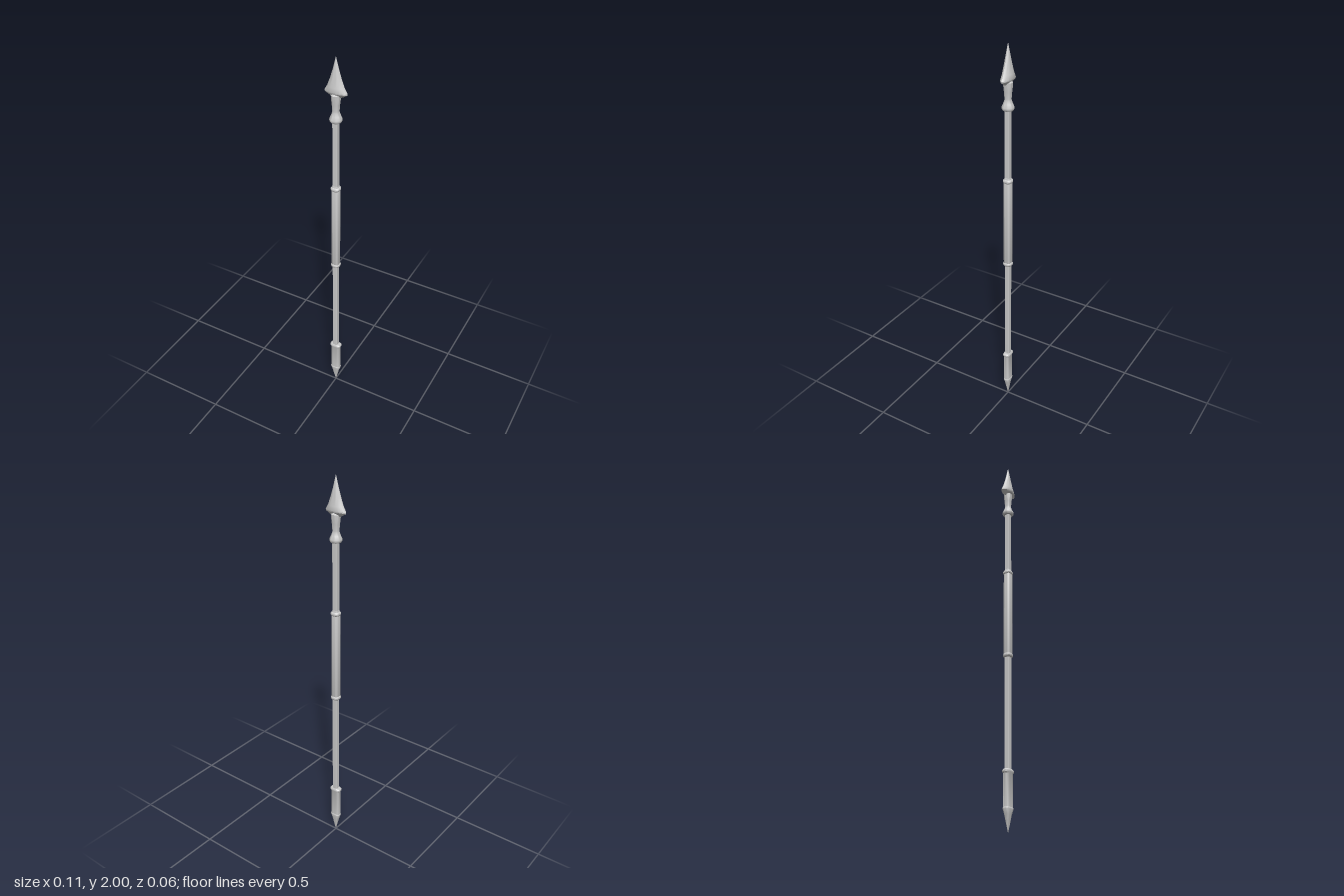
import * as THREE from 'three';
import { toCreasedNormals } from 'three/addons/utils/BufferGeometryUtils.js';

const SIDES = 24;
const material = new THREE.MeshStandardMaterial({ color: 0xcccccc });

// Part from [radius, y] points. A power of 2 gives a round section and higher
// powers a rounded square; depth flattens the section along z.
function turned(name, points, power = 2, depth = 1) {
  const profile = points.map(([r, y]) => new THREE.Vector2(r, y));
  const geometry = new THREE.LatheGeometry(profile, SIDES);
  const position = geometry.attributes.position;
  for (let i = 0; i < position.count; i++) {
    const x = position.getX(i);
    const z = position.getZ(i);
    const norm = Math.pow(Math.abs(x) ** power + Math.abs(z) ** power, 1 / power);
    const k = norm > 0 ? Math.hypot(x, z) / norm : 1;
    position.setXYZ(i, x * k, position.getY(i), z * k * depth);
  }
  const mesh = new THREE.Mesh(toCreasedNormals(geometry, 0.7), material);
  mesh.name = name;
  return mesh;
}

// Lofted blade: rows are [y, half width, half thickness, lift at the ridge]
function bladeGeometry(rows) {
  const positions = [];
  const index = [];
  for (const [y, rx, rz, lift] of rows) {
    for (let i = 0; i < SIDES; i++) {
      const a = (i / SIDES) * Math.PI * 2;
      const s = Math.sin(a);
      const ridge = Math.pow(Math.abs(s), 1.35);
      positions.push(rx * Math.cos(a), y + lift * ridge, rz * Math.sign(s) * ridge);
    }
  }
  for (let r = 0; r < rows.length - 1; r++) {
    for (let i = 0; i < SIDES; i++) {
      const a = r * SIDES + i;
      const b = r * SIDES + ((i + 1) % SIDES);
      index.push(a, a + SIDES, b, b, a + SIDES, b + SIDES);
    }
  }
  const geometry = new THREE.BufferGeometry();
  geometry.setAttribute('position', new THREE.Float32BufferAttribute(positions, 3));
  geometry.setIndex(index);
  return toCreasedNormals(geometry, 0.5);
}

export function createModel() {
  const group = new THREE.Group();
  group.name = 'spear';

  // Rounded-square pole and thicker hand grip
  group.add(turned('shaft', [[0.014, 0.2], [0.014, 1.72]], 5));
  group.add(turned('grip', [[0.014, 0.855], [0.019, 0.868], [0.019, 1.328], [0.014, 1.35]], 4));

  // Rings at both ends of the grip
  for (const y of [0.863, 1.33]) {
    group.add(turned('gripRing', [
      [0.014, y - 0.011], [0.02, y - 0.009], [0.0235, y - 0.004],
      [0.0235, y + 0.004], [0.02, y + 0.009], [0.014, y + 0.011],
    ], 2.6));
  }

  // Flattened butt sleeve with its rim and point
  group.add(turned('buttSleeve', [
    [0.0, 0.1], [0.026, 0.105], [0.026, 0.27], [0.031, 0.276],
    [0.031, 0.284], [0.024, 0.291], [0.0, 0.292],
  ], 3.5, 0.64));
  group.add(turned('buttSpike', [
    [0.0, 0.0], [0.009, 0.036], [0.02, 0.083], [0.028, 0.106],
    [0.028, 0.112], [0.024, 0.117], [0.0, 0.118],
  ], 3, 0.66));

  // Collar and funnel-shaped socket under the blade
  group.add(turned('socket', [
    [0.0, 1.688], [0.025, 1.688], [0.03, 1.696], [0.03, 1.704],
    [0.023, 1.72], [0.017, 1.736], [0.0165, 1.744], [0.019, 1.775],
    [0.022, 1.8], [0.023, 1.82], [0.0, 1.835],
  ]));

  // Leaf blade with barbs, its base arching up over the socket
  const blade = new THREE.Mesh(bladeGeometry([
    [1.808, 0.012, 0.012, 0.022], [1.809, 0.022, 0.02, 0.02], [1.817, 0.038, 0.024, 0.014],
    [1.828, 0.056, 0.026, 0.007], [1.835, 0.057, 0.027, 0.004], [1.86, 0.043, 0.023, 0],
    [1.9, 0.028, 0.017, 0], [1.94, 0.0155, 0.011, 0], [1.98, 0.005, 0.004, 0], [2.0, 0, 0, 0],
  ]), material);
  blade.name = 'blade';
  group.add(blade);

  return group;
}
